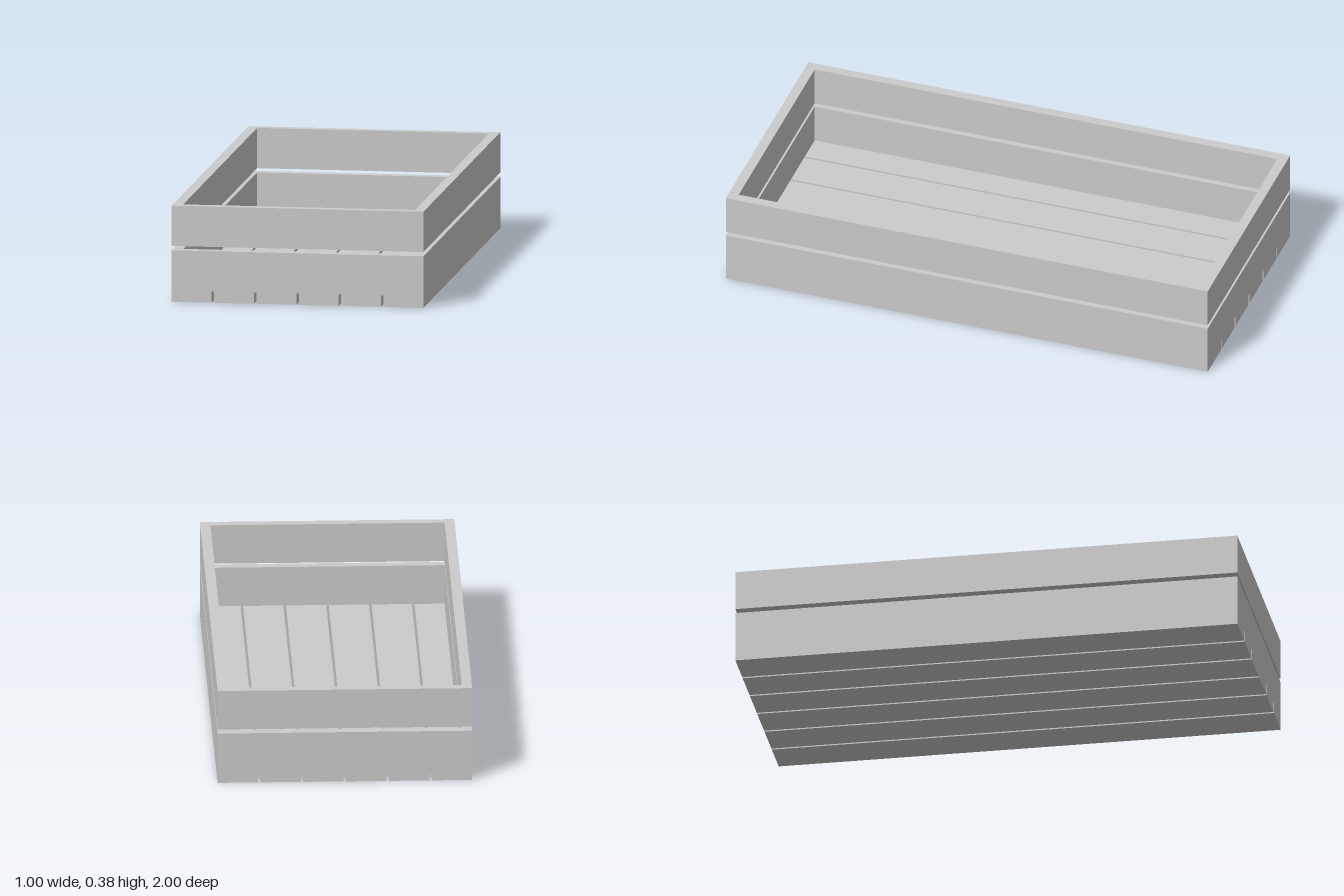
import * as THREE from 'three';

const W = 1, L = 2;            // outer width and length
const T = 0.04;                // board thickness
const FLOOR = 0.045;           // floor slat thickness
const BOARD = 0.16;            // wall board height

export function createModel() {
  const crate = new THREE.Group();
  crate.name = 'slattedCrate';
  const wood = new THREE.MeshStandardMaterial({ color: 0xcccccc, flatShading: true });

  const addBoard = (name, w, h, d, x, y, z) => {
    const mesh = new THREE.Mesh(new THREE.BoxGeometry(w, h, d), wood);
    mesh.name = name;
    mesh.position.set(x, y + h / 2, z);
    crate.add(mesh);
  };

  // Floor slats running lengthwise with narrow gaps
  const count = 6, gap = 0.01;
  const slat = (W - gap * (count - 1)) / count;
  for (let i = 0; i < count; i++) {
    addBoard(`floorSlat${i + 1}`, slat, FLOOR, L, -W / 2 + slat / 2 + i * (slat + gap), 0, 0);
  }

  // Two tiers of wall boards: ends span the full width, sides fit between them
  for (const [tier, y] of [['lower', FLOOR], ['upper', 0.222]]) {
    for (const s of [1, -1]) {
      addBoard(`${tier}${s > 0 ? 'Front' : 'Back'}Board`, W, BOARD, T, 0, y, s * (L - T) / 2);
      addBoard(`${tier}${s > 0 ? 'Left' : 'Right'}Board`, T, BOARD, L - 2 * T, s * (W - T) / 2, y, 0);
    }
  }
  return crate;
}
